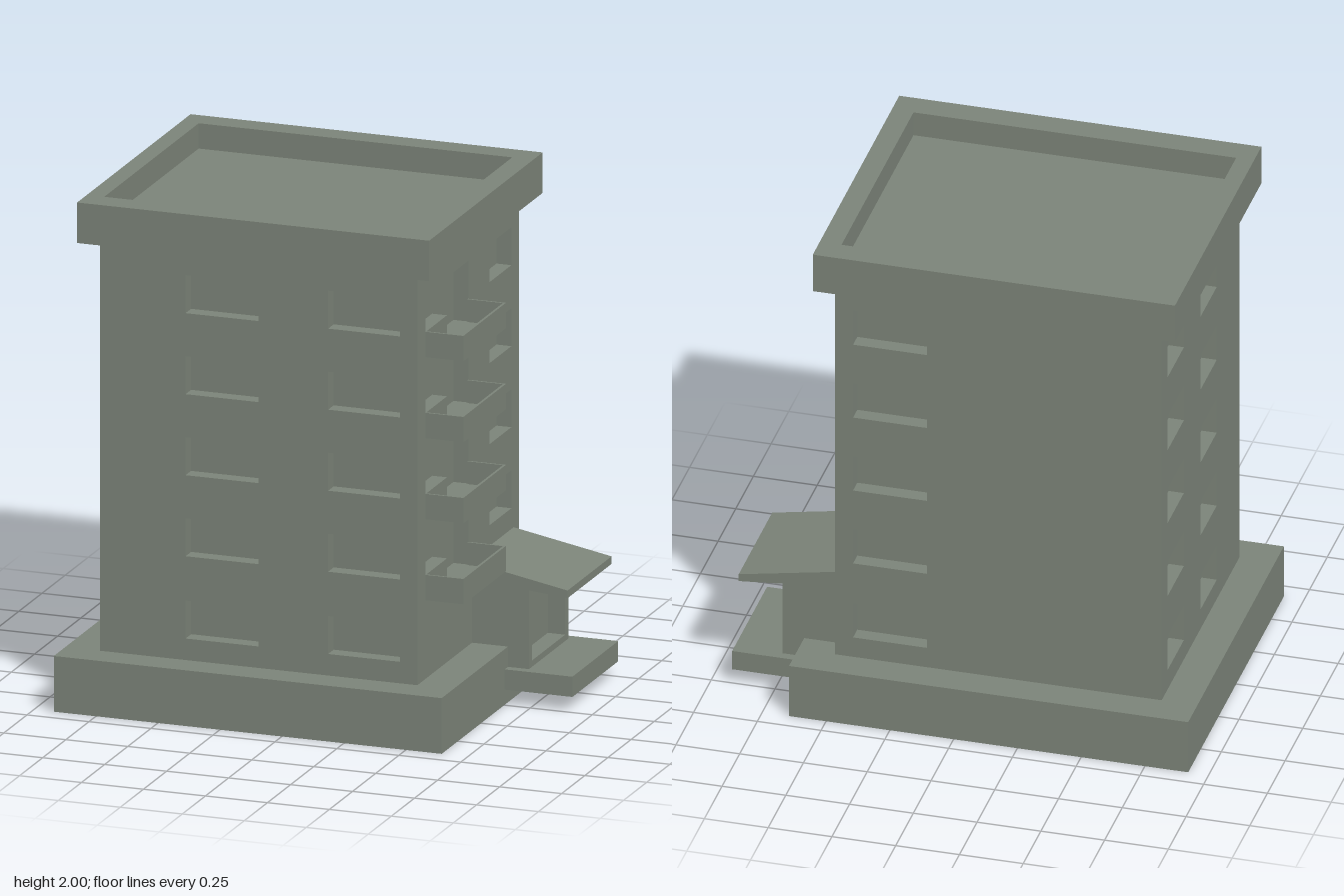
import * as THREE from 'three';

const material = new THREE.MeshStandardMaterial({ color: 0x7c8479, flatShading: true });
const REVEAL = 0.06; // depth of window and door recesses
const FLOOR_SILLS = [0.305, 0.63, 0.95, 1.27, 1.59];
const WINDOW_HEIGHT = 0.15;

function addMesh(parent, name, geometry) {
  const mesh = new THREE.Mesh(geometry, material);
  mesh.name = name;
  parent.add(mesh);
  return mesh;
}

// Box given by its limits on each axis
function addBox(parent, name, [x0, x1], [y0, y1], [z0, z1]) {
  const mesh = addMesh(parent, name, new THREE.BoxGeometry(x1 - x0, y1 - y0, z1 - z0));
  mesh.position.set((x0 + x1) / 2, (y0 + y1) / 2, (z0 + z1) / 2);
  return mesh;
}

const polygon = (points) => points.map(([x, y]) => new THREE.Vector2(x, y));
const rect = (x0, x1, y0, y1) => [[x0, y0], [x1, y0], [x1, y1], [x0, y1]];

// Flat panel with openings cut through it
function panel(outline, holes, depth) {
  const shape = new THREE.Shape(polygon(outline));
  holes.forEach((hole) => shape.holes.push(new THREE.Path(polygon(hole))));
  return new THREE.ExtrudeGeometry(shape, { depth, bevelEnabled: false });
}

// Column of equal windows, one per storey
const windowColumn = (a, b, sills = FLOOR_SILLS) =>
  sills.map((y) => rect(a, b, y, y + WINDOW_HEIGHT));

export function createModel() {
  const building = new THREE.Group();
  building.name = 'apartmentBuilding';

  // Plinth and the core that closes the recesses
  addBox(building, 'plinth', [-0.92, 0.645], [0, 0.22], [-0.68, 0.675]);
  addBox(building, 'core', [-0.72, 0.44], [0.22, 1.84], [-0.49, 0.49]);

  // Front and back walls
  const longWall = rect(-0.78, 0.5, 0.22, 1.84);
  const front = addMesh(building, 'frontWall', panel(longWall,
    [...windowColumn(-0.435, -0.14), ...windowColumn(0.14, 0.43)], REVEAL));
  front.position.z = 0.49;
  const back = addMesh(building, 'backWall', panel(longWall, windowColumn(0.14, 0.43), REVEAL));
  back.position.z = -0.55;

  // Side walls, drawn in z and y; balconies get a joined door and window opening
  const upperSills = FLOOR_SILLS.slice(1);
  const sideWall = rect(-0.49, 0.49, 0.22, 1.84);
  const balconyOpenings = upperSills.map((y) => [
    [0, y - 0.09], [0.23, y - 0.09], [0.23, y], [0.46, y],
    [0.46, y + WINDOW_HEIGHT], [0, y + WINDOW_HEIGHT],
  ]);
  const doorSide = addMesh(building, 'entranceSideWall', panel(sideWall,
    [...windowColumn(-0.465, -0.23, upperSills), ...balconyOpenings], REVEAL));
  doorSide.rotation.y = -Math.PI / 2;
  doorSide.position.x = 0.5;
  const plainSide = addMesh(building, 'plainSideWall', panel(sideWall,
    [...windowColumn(-0.465, -0.235), ...windowColumn(0, 0.23)], REVEAL));
  plainSide.rotation.y = -Math.PI / 2;
  plainSide.position.x = -0.72;

  // Roof slab with a raised parapet
  addBox(building, 'roofSlab', [-0.85, 0.57], [1.84, 1.9], [-0.615, 0.61]);
  const parapet = addMesh(building, 'parapet', panel(
    rect(-0.85, 0.57, -0.615, 0.61), [rect(-0.78, 0.485, -0.515, 0.505)], 0.1));
  parapet.rotation.x = Math.PI / 2;
  parapet.position.y = 2;

  // Balconies: open trays with thin walls
  upperSills.forEach((top) => {
    const balcony = new THREE.Group();
    balcony.name = 'balcony';
    const y = [top - 0.1, top];
    addBox(balcony, 'balconyFloor', [0.5, 0.642], [top - 0.1, top - 0.09], [0.008, 0.452]);
    addBox(balcony, 'balconyFrontRail', [0.642, 0.652], y, [0, 0.46]);
    addBox(balcony, 'balconySideRail', [0.5, 0.642], y, [0, 0.008]);
    addBox(balcony, 'balconySideRail', [0.5, 0.642], y, [0.452, 0.46]);
    building.add(balcony);
  });

  // Entrance porch with a recessed doorway
  const entrance = new THREE.Group();
  entrance.name = 'entrance';
  addBox(entrance, 'doorstep', [0.6, 0.918], [0.06, 0.14], [-0.5, -0.005]);
  addBox(entrance, 'porchCore', [0.5, 0.66], [0.14, 0.47], [-0.465, -0.04]);
  const doorway = addMesh(entrance, 'doorFrame', panel(
    rect(-0.465, -0.04, 0.14, 0.47), [rect(-0.43, -0.07, 0.165, 0.445)], 0.07));
  doorway.rotation.y = -Math.PI / 2;
  doorway.position.x = 0.73;

  // Sloping, tapered canopy
  const canopy = addMesh(entrance, 'canopy', panel(
    [[0.5, 0.48], [0.895, 0.445], [0.895, 0.475], [0.5, 0.548]], [], 0.475));
  canopy.position.z = -0.49;
  building.add(entrance);

  return building;
}
